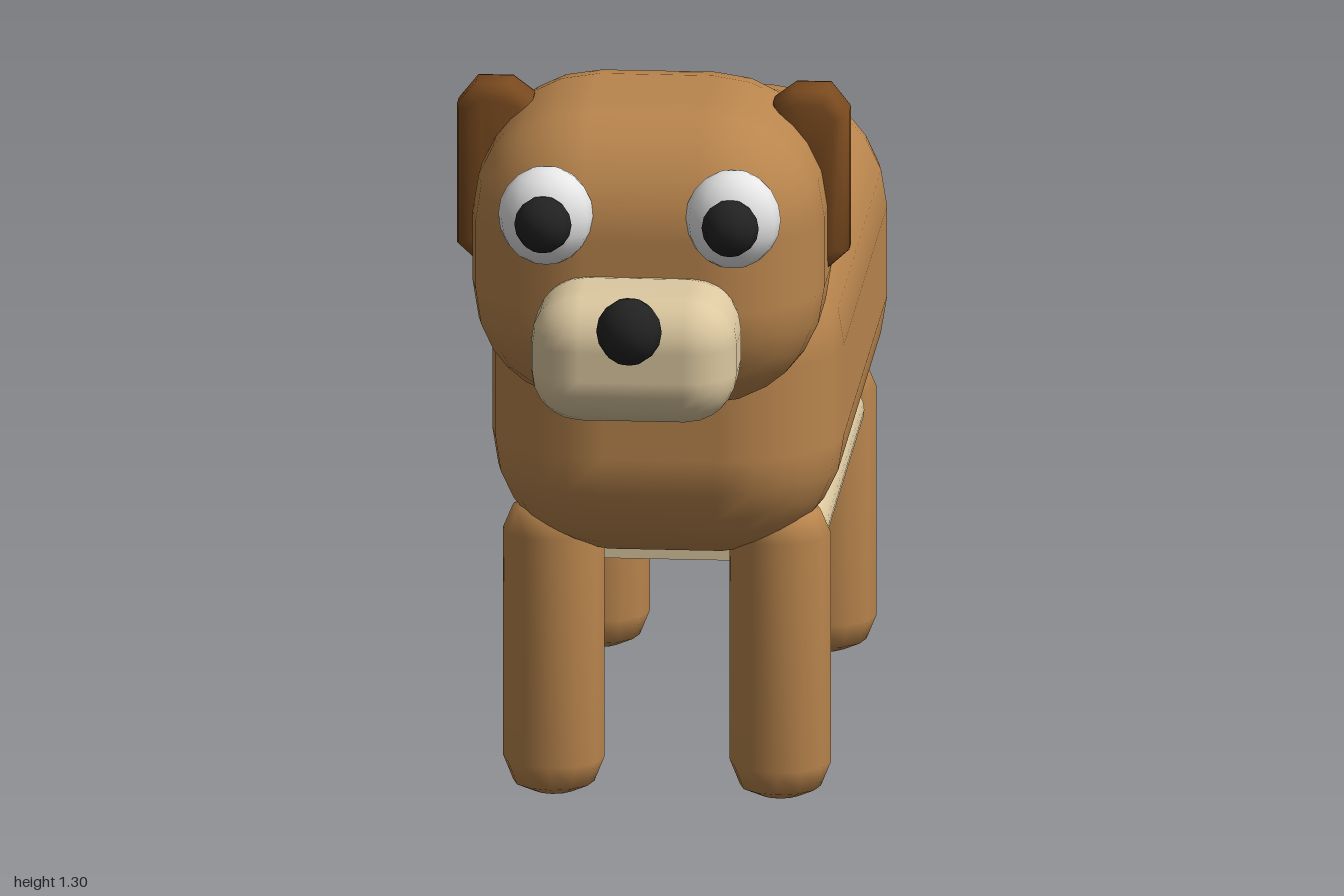
import * as THREE from 'three';
import { toCreasedNormals } from 'three/addons/utils/BufferGeometryUtils.js';
import { RoundedBoxGeometry } from 'three/addons/geometries/RoundedBoxGeometry.js';

const material = (name, color) => {
  const m = new THREE.MeshStandardMaterial({ color });
  m.name = name;
  return m;
};

export function createModel() {
  const group = new THREE.Group();
  group.name = 'dog';
  const fur = material('brown fur', 0xb9854d);
  const earFur = material('dark brown ear', 0x7a4a1f);
  const cream = material('cream', 0xdcc8a0);
  const white = material('eye white', 0xe6e6e6);
  const black = material('black', 0x222222);

  const add = (name, geometry, mat, x, y, z) => {
    const mesh = new THREE.Mesh(geometry, mat);
    mesh.name = name;
    mesh.position.set(x, y, z);
    group.add(mesh);
    return mesh;
  };
  const ball = (rx, ry, rz, w, h) => new THREE.SphereGeometry(1, w, h).scale(rx, ry, rz);

  // Body, head and muzzle are soft rounded blocks
  add('body', new RoundedBoxGeometry(0.59, 0.555, 1.3, 3, 0.2), fur, 0, 0.6975, -0.33);
  add('head', new RoundedBoxGeometry(0.59, 0.52, 0.555, 3, 0.2), fur, 0, 1.045, 0.4575);
  add('muzzle', new RoundedBoxGeometry(0.345, 0.22, 0.26, 3, 0.085), cream, 0, 0.94, 0.795);
  add('nose', ball(0.055, 0.057, 0.055, 10, 8), black, 0, 1.01, 0.945);
  add('tail', ball(0.045, 0.042, 0.04, 10, 8), fur, 0, 0.8, -0.96);

  // Belly pad: a flat slab with round long edges
  const r = 0.0475, w = 0.26 - r;
  const pad = new THREE.Shape();
  pad.absarc(w, 0, r, -Math.PI / 2, Math.PI / 2, false);
  pad.absarc(-w, 0, r, Math.PI / 2, Math.PI * 1.5, false);
  const padGeo = new THREE.ExtrudeGeometry(pad, { depth: 0.815, bevelEnabled: false, curveSegments: 6 });
  add('belly', toCreasedNormals(padGeo, 0.9), cream, 0, 0.4325, -0.74);

  // Legs: stubby round posts with softened ends
  const legProfile = [[0, 0], [0.035, 0.003], [0.068, 0.018], [0.085, 0.06],
    [0.085, 0.455], [0.068, 0.495], [0.035, 0.509], [0, 0.512]]
    .map(([x, y]) => new THREE.Vector2(x, y));
  const legGeo = new THREE.LatheGeometry(legProfile, 12);

  // Ear outline: a hooked top that tapers downward on the outside of the head
  const earShape = (s) => {
    const pts = [[0.225, 1.265], [0.245, 1.28], [0.285, 1.28], [0.305, 1.255],
      [0.305, 1.035], [0.295, 1.025], [0.285, 1.04], [0.27, 1.17], [0.225, 1.215]];
    return new THREE.Shape(pts.map(([x, y]) => new THREE.Vector2(s * x, y)));
  };

  for (const s of [1, -1]) {
    const side = s > 0 ? 'left' : 'right';
    add(`${side}FrontLeg`, legGeo, fur, s * 0.19, 0, 0.145);
    add(`${side}BackLeg`, legGeo, fur, s * 0.19, 0, -0.81);

    const earGeo = new THREE.ExtrudeGeometry(earShape(s), {
      depth: 0.04, bevelThickness: 0.03, bevelSize: 0.024, bevelSegments: 3,
    });
    add(`${side}Ear`, toCreasedNormals(earGeo, 1.2), earFur, 0, 0, 0.4);

    add(`${side}Eye`, ball(0.08, 0.084, 0.065, 14, 10), white, s * 0.157, 1.15, 0.725);
    add(`${side}Pupil`, ball(0.048, 0.048, 0.048, 10, 8), black, s * 0.157, 1.15, 0.787);
  }
  return group;
}
